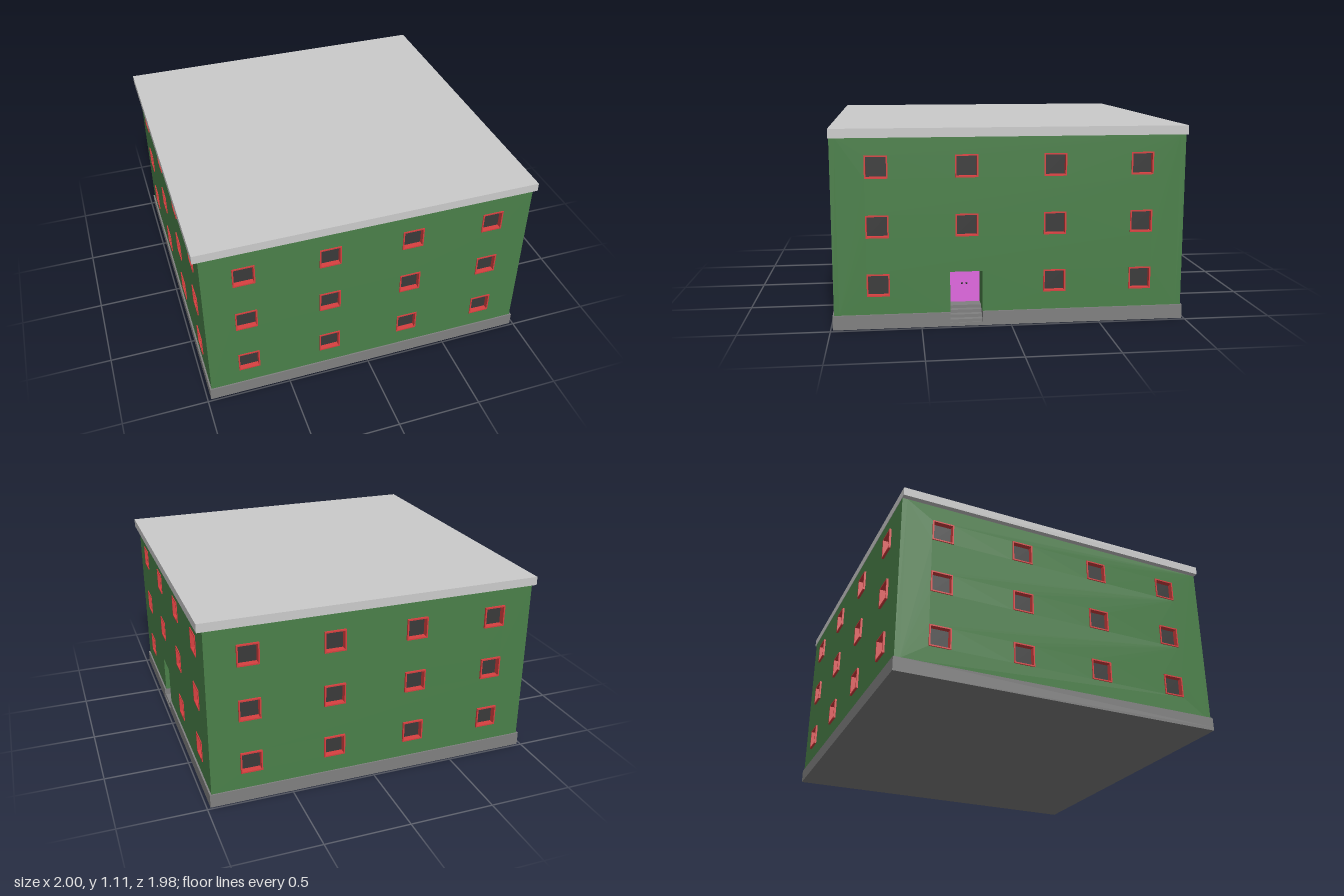
import * as THREE from 'three';

const mat = (color) => new THREE.MeshStandardMaterial({ color });
const M = {
  wall: mat(0x4a8049), frame: mat(0xd84040), glass: mat(0x3a3a3a),
  base: mat(0x808080), roof: mat(0xcccccc), door: mat(0xe068e0), knob: mat(0x333333),
};

const X = 0.97, Z = 0.98;              // half sizes of the walls
const Y0 = 0.08, Y1 = 1.06;            // wall bottom and top
const T = 0.03;                        // wall thickness
const COLS = [-0.735, -0.245, 0.245, 0.735];
const ROWS = [0.245, 0.573, 0.9];
const WIN = 0.126, BAR = 0.008;        // window size and frame bar
const DOOR = { z: 0.25, w: 0.18, top: 0.31, depth: 0.16, floor: 0.09 };

function add(parent, name, geometry, material, x = 0, y = 0, z = 0) {
  const mesh = new THREE.Mesh(geometry, material);
  mesh.name = name;
  mesh.position.set(x, y, z);
  parent.add(mesh);
  return mesh;
}
const box = (w, h, d) => new THREE.BoxGeometry(w, h, d);
const extrude = (shape, depth) => new THREE.ExtrudeGeometry(shape, { depth, bevelEnabled: false });
const polygon = (pts) => new THREE.Shape(pts.map(([x, y]) => new THREE.Vector2(x, y)));

function squareHole(x, y, size) {
  const h = size / 2;
  return new THREE.Path([[-h, -h], [-h, h], [h, h], [h, -h]].map(([a, b]) => new THREE.Vector2(x + a, y + b)));
}

// Frame lining the opening, with a recessed pane; z = 0 is the wall face
function makeWindow(proud) {
  const g = new THREE.Group();
  g.name = 'window';
  const h = WIN / 2;
  const shape = polygon([[-h, -h], [h, -h], [h, h], [-h, h]]);
  shape.holes.push(squareHole(0, 0, WIN - 2 * BAR));
  add(g, 'windowFrame', extrude(shape, T + proud), M.frame, 0, 0, -T);
  add(g, 'windowPane', box(WIN, WIN, 0.01), M.glass, 0, 0, -T);
  return g;
}

// One facade facing +z, with its windows and an optional doorway notch
function makeFacade(name, half, proud, doorX = null) {
  const g = new THREE.Group();
  g.name = name;
  const pts = [[-half, Y0]];
  if (doorX !== null) {
    const a = doorX - DOOR.w / 2, b = doorX + DOOR.w / 2;
    pts.push([a, Y0], [a, DOOR.top], [b, DOOR.top], [b, Y0]);
  }
  pts.push([half, Y0], [half, Y1], [-half, Y1]);
  const shape = polygon(pts);
  ROWS.forEach((y, row) => COLS.forEach((x) => {
    if (doorX !== null && row === 0 && Math.abs(x - doorX) < 0.1) return;
    shape.holes.push(squareHole(x, y, WIN));
    const w = makeWindow(proud);
    w.position.set(x, y, 0);
    g.add(w);
  }));
  add(g, 'wall', extrude(shape, T), M.wall, 0, 0, -T);
  return g;
}

// Recessed entrance facing +z: lining, door leaf, knobs and stairs
function makeEntrance() {
  const g = new THREE.Group();
  g.name = 'entrance';
  const { w, top, depth, floor } = DOOR;
  const inner = depth - T / 2;
  for (const s of [-1, 1]) {
    add(g, 'recessSide', box(0.02, top - Y0, inner), M.wall, s * (w / 2 + 0.01), (top + Y0) / 2, -T / 2 - inner / 2);
    add(g, 'doorKnob', new THREE.SphereGeometry(0.006, 12, 8), M.knob, s * 0.013, 0.2, -depth + 0.004);
  }
  add(g, 'recessCeiling', box(w + 0.04, 0.02, inner), M.wall, 0, top + 0.01, -T / 2 - inner / 2);
  add(g, 'door', box(w, top - floor, 0.02), M.door, 0, (top + floor) / 2, -depth - 0.01);
  const n = 4;
  for (let i = 0; i < n; i++) {
    const y = 0.02 + (floor - 0.02) * (i + 1) / n;
    const front = 0.005 - i * 0.032, back = -depth - 0.02;
    add(g, 'step', box(w, y - 0.01, front - back), M.base, 0, (y + 0.01) / 2, (front + back) / 2);
  }
  return g;
}

export function createModel() {
  const model = new THREE.Group();
  model.name = 'building';

  // Facades
  const place = (g, x, z, ry) => {
    g.position.set(x, 0, z);
    g.rotation.y = ry;
    model.add(g);
  };
  place(makeFacade('frontFacade', X, 0.005), 0, Z, 0);
  place(makeFacade('backFacade', X, 0.012), 0, -Z, Math.PI);
  place(makeFacade('rightFacade', Z - T, 0.005, -DOOR.z), X, 0, Math.PI / 2);
  place(makeFacade('leftFacade', Z - T, 0.006), -X, 0, -Math.PI / 2);
  place(makeEntrance(), X, DOOR.z, Math.PI / 2);

  // Plinth: thin slab below, and an upper part notched for the stairs
  const bx = 0.98, bz = 0.988, cut = X - DOOR.depth - 0.02;
  add(model, 'plinthSlab', box(2 * bx, 0.02, 2 * bz), M.base, 0, 0.01, 0);
  const z0 = DOOR.z - DOOR.w / 2, z1 = DOOR.z + DOOR.w / 2;
  const plan = polygon([
    [-bx, -bz], [bx, -bz], [bx, -z1], [cut, -z1], [cut, -z0], [bx, -z0], [bx, bz], [-bx, bz],
  ]);
  const plinth = add(model, 'plinth', extrude(plan, Y0 - 0.02), M.base, 0, 0.02, 0);
  plinth.rotation.x = -Math.PI / 2;

  // Flat roof slab
  add(model, 'roof', box(2, 0.05, 1.965), M.roof, 0, Y1 + 0.025, 0);
  return model;
}
